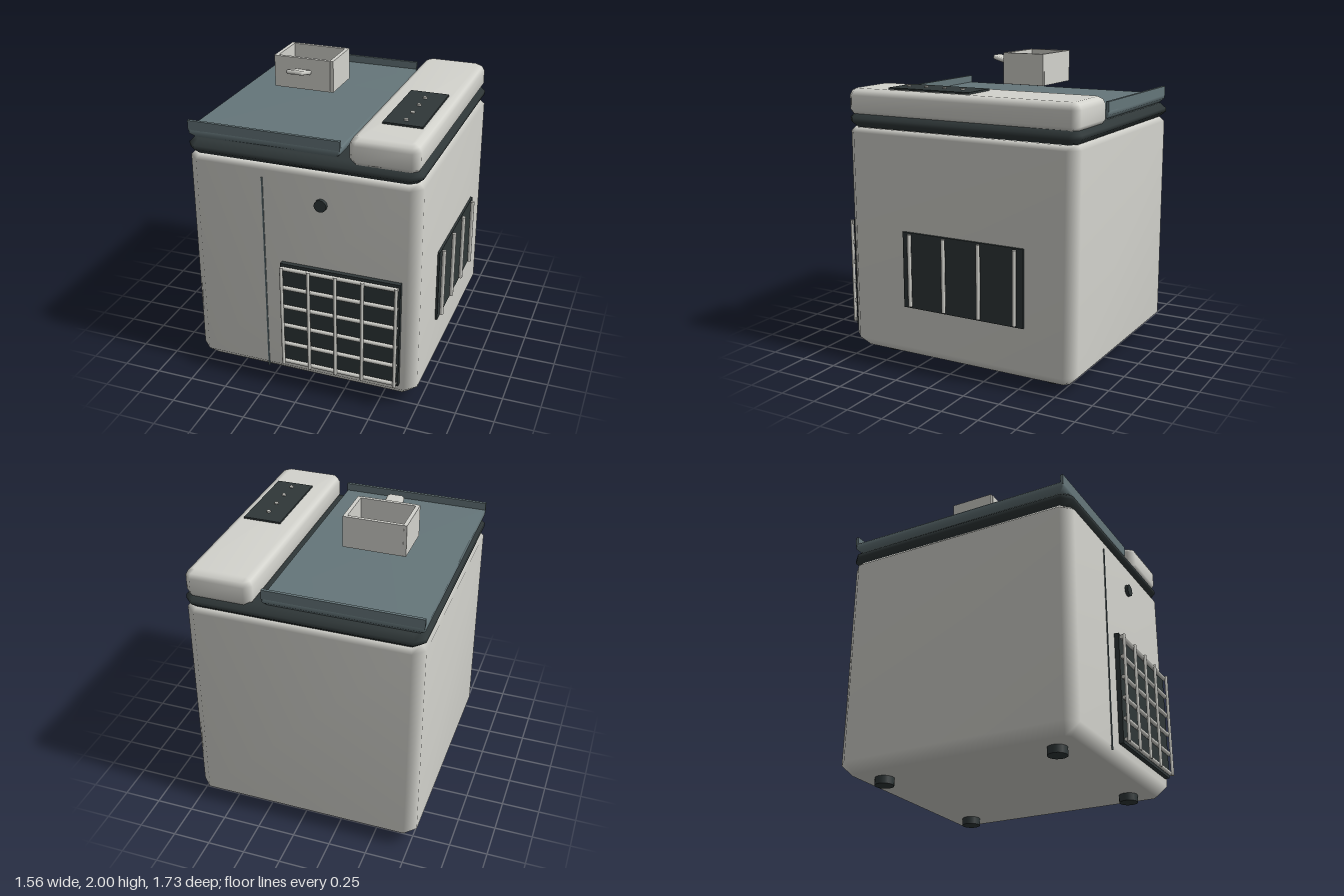
import * as THREE from 'three';

const flat = (name, color) => {
  const m = new THREE.MeshStandardMaterial({ color });
  m.name = name;
  return m;
};

// Slab with chamfered corners: sections are [y, inset] from bottom to top
function chamferedSlab(x0, x1, z0, z1, corner, sections) {
  const pos = [], index = [];
  for (const [y, d] of sections) {
    const c = Math.max(corner - d * 0.586, 0.008);
    const a = x0 + d, b = x1 - d, e = z0 + d, f = z1 - d;
    const loop = [[b, e + c], [b, f - c], [b - c, f], [a + c, f], [a, f - c], [a, e + c], [a + c, e], [b - c, e]];
    for (const [x, z] of loop) pos.push(x, y, z);
  }
  const top = (sections.length - 1) * 8;
  for (let s = 0; s < sections.length - 1; s++) {
    for (let i = 0; i < 8; i++) {
      const p = s * 8 + i, q = s * 8 + (i + 1) % 8;
      index.push(p, p + 8, q, q, p + 8, q + 8);
    }
  }
  for (let i = 1; i < 7; i++) {
    index.push(0, i, i + 1);
    index.push(top, top + i + 1, top + i);
  }
  const g = new THREE.BufferGeometry();
  g.setAttribute('position', new THREE.Float32BufferAttribute(pos, 3));
  g.setIndex(index);
  g.computeVertexNormals();
  return g;
}

export function createModel() {
  const model = new THREE.Group();
  model.name = 'iceMaker';
  const shell = flat('warm light grey', 0xd3d3cd);
  const dark = flat('charcoal', 0x2f3738);
  const slate = flat('slate lid', 0x65767a);

  const add = (name, geometry, material, x = 0, y = 0, z = 0, parent = model) => {
    const mesh = new THREE.Mesh(geometry, material);
    mesh.name = name;
    mesh.position.set(x, y, z);
    parent.add(mesh);
    return mesh;
  };
  // Box given by its limits on each axis
  const box = (name, material, x0, x1, y0, y1, z0, z1, parent) =>
    add(name, new THREE.BoxGeometry(x1 - x0, y1 - y0, z1 - z0), material,
      (x0 + x1) / 2, (y0 + y1) / 2, (z0 + z1) / 2, parent);
  const group = (name) => {
    const g = new THREE.Group();
    g.name = name;
    model.add(g);
    return g;
  };

  // Housing and dark collar
  add('body', chamferedSlab(-0.785, 0.735, -0.865, 0.79, 0.07,
    [[0.05, 0.07], [0.12, 0], [1.52, 0], [1.55, 0.03]]), shell);
  add('collar', chamferedSlab(-0.785, 0.73, -0.87, 0.79, 0.06,
    [[1.55, 0.04], [1.585, 0], [1.61, 0], [1.645, 0.035]]), dark);

  // Lid with a raised lip along its front and back ends
  const lid = group('lid');
  add('lidPanel', chamferedSlab(-0.78, 0.22, -0.84, 0.75, 0.01,
    [[1.645, 0.025], [1.67, 0], [1.695, 0], [1.705, 0.005]]), slate, 0, 0, 0, lid);
  box('frontLip', slate, -0.78, 0.22, 1.69, 1.755, 0.73, 0.75, lid);
  box('backLip', slate, -0.78, 0.22, 1.69, 1.755, -0.84, -0.82, lid);

  // Control console with panel and indicator buttons
  add('console', chamferedSlab(0.28, 0.717, -0.862, 0.787, 0.045,
    [[1.635, 0.015], [1.66, 0], [1.755, 0], [1.785, 0.015], [1.8, 0.045]]), shell);
  box('controlPanel', dark, 0.397, 0.65, 1.798, 1.812, -0.098, 0.497);
  for (const z of [0.02, 0.155, 0.29, 0.425]) {
    add('indicator', new THREE.CylinderGeometry(0.014, 0.014, 0.012, 16), shell, 0.525, 1.815, z);
  }

  // Open scoop with slanted handle
  const scoop = group('scoop');
  box('scoopFloor', shell, -0.48, -0.09, 1.79, 1.81, -0.23, 0.06, scoop);
  for (const x of [-0.49, -0.105]) box('scoopSide', shell, x, x + 0.025, 1.79, 2, -0.235, 0.065, scoop);
  for (const z of [-0.237, 0.047]) box('scoopEnd', shell, -0.47, -0.1, 1.79, 2, z, z + 0.023, scoop);
  const handle = add('scoopHandle', chamferedSlab(-0.056, 0.056, -0.09, 0.09, 0.015,
    [[-0.014, 0.006], [-0.007, 0], [0.007, 0], [0.014, 0.006]]), shell, -0.285, 1.932, 0.148, scoop);
  handle.rotation.x = -0.28;

  // Front grille: backing with crossed round bars
  const grille = group('frontGrille');
  box('grilleBacking', dark, -0.155, 0.635, 0.165, 0.907, 0.785, 0.82, grille);
  for (const y of [0.19, 0.327, 0.465, 0.604, 0.743, 0.88]) {
    add('grilleCrossBar', new THREE.CylinderGeometry(0.014, 0.014, 0.77, 10), shell, 0.24, y, 0.835, grille)
      .rotation.z = Math.PI / 2;
  }
  for (const x of [-0.138, 0.043, 0.222, 0.4, 0.617]) {
    add('grilleUpright', new THREE.CylinderGeometry(0.011, 0.011, 0.72, 10), shell, x, 0.535, 0.85, grille);
  }

  // Side vent
  const vent = group('sideVent');
  box('ventBacking', dark, 0.72, 0.75, 0.4, 0.905, -0.528, 0.345, vent);
  for (const z of [0.288, 0.034, -0.22, -0.474]) {
    add('ventBar', new THREE.CylinderGeometry(0.013, 0.013, 0.48, 10), shell, 0.764, 0.655, z, vent);
  }

  // Front button and panel seam
  add('frontButton', new THREE.CylinderGeometry(0.04, 0.04, 0.03, 24), dark, 0.115, 1.345, 0.797)
    .rotation.x = Math.PI / 2;
  box('frontSeam', slate, -0.276, -0.267, 0.09, 1.47, 0.787, 0.796);

  // Feet
  for (const x of [-0.56, 0.51]) {
    for (const z of [0.57, -0.64]) {
      add('foot', new THREE.CylinderGeometry(0.062, 0.062, 0.06, 20), dark, x, 0.03, z);
    }
  }
  return model;
}
